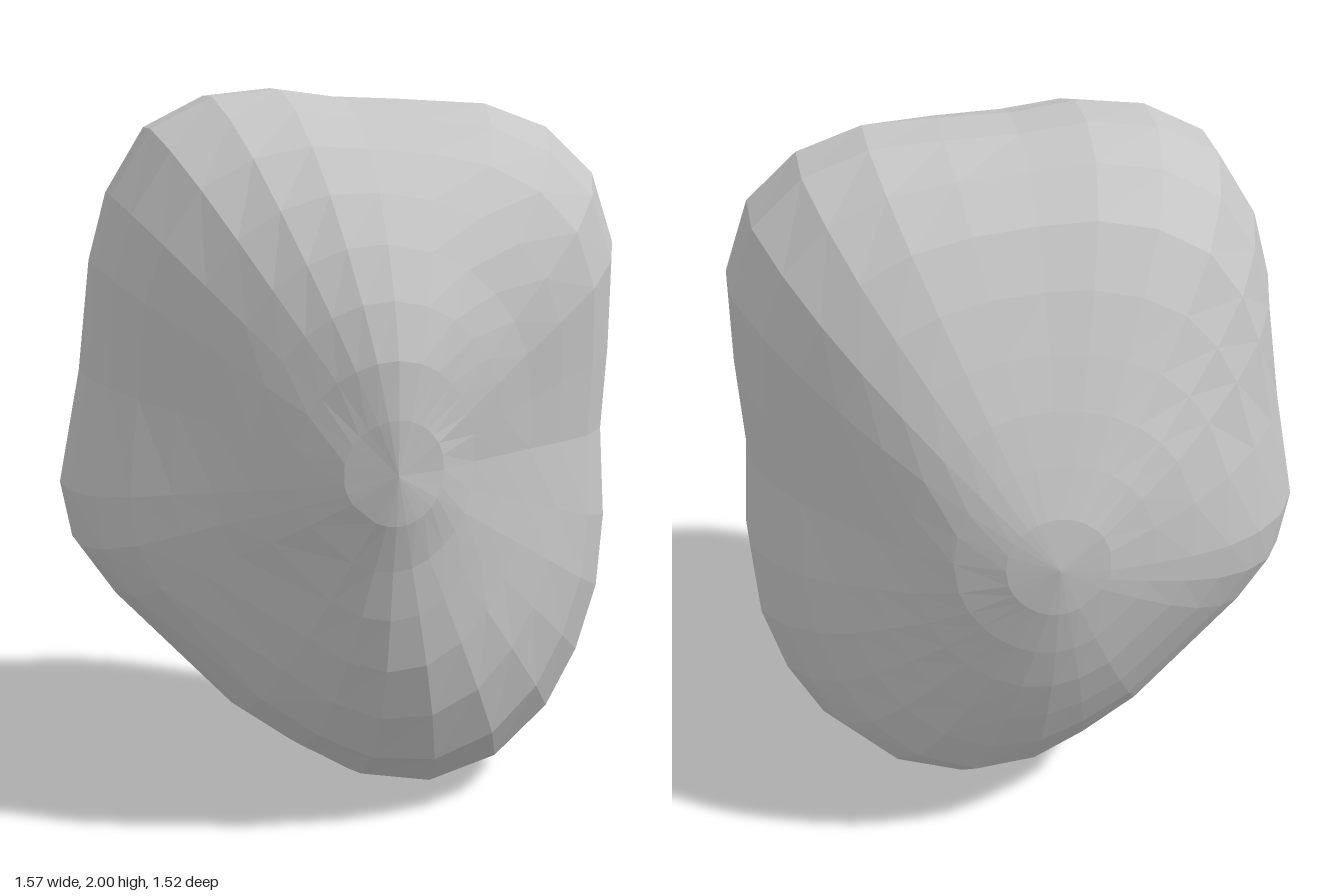
import * as THREE from 'three';

const CENTER_Y = 1.05;
const STACKS = 17;

// Widest outline of the boulder, counter-clockwise seen from the front (x, y)
const OUTLINE = [
  [0.765, 1.05], [0.783, 1.3], [0.788, 1.57], [0.72, 1.77], [0.58, 1.9], [0.4, 1.965],
  [0.2, 1.975], [0, 1.98], [-0.18, 2.004], [-0.37, 1.985], [-0.54, 1.9], [-0.65, 1.72],
  [-0.7, 1.53], [-0.73, 1.22], [-0.79, 0.9], [-0.76, 0.74], [-0.66, 0.6], [-0.33, 0.26],
  [-0.16, 0.14], [0.01, 0.04], [0.22, -0.004], [0.43, 0.05], [0.6, 0.19], [0.7, 0.36],
  [0.765, 0.56], [0.783, 0.78],
];

// Distance from the centre, front pole to back pole in steps of 22.5 degrees.
// Columns go round: left, upper left, top, upper right, right, lower right, bottom, lower left
const RADII = [
  [0.755, 0.755, 0.755, 0.755, 0.755, 0.755, 0.755, 0.755],
  [0.65, 0.72, 0.81, 0.74, 0.69, 0.7, 0.74, 0.69],
  [0.64, 0.76, 0.85, 0.76, 0.64, 0.68, 0.84, 0.73],
  [0.73, 0.93, 0.9, 0.88, 0.7, 0.765, 0.975, 0.9],
  [0.765, 1.018, 0.93, 0.93, 0.76, 0.787, 1.01, 0.98],
  [0.71, 0.9, 0.9, 0.88, 0.765, 0.79, 0.96, 0.88],
  [0.685, 0.79, 0.78, 0.78, 0.745, 0.755, 0.835, 0.78],
  [0.73, 0.745, 0.735, 0.745, 0.73, 0.74, 0.77, 0.75],
  [0.76, 0.76, 0.76, 0.76, 0.76, 0.76, 0.76, 0.76],
];

// Smooth curve between b and c
function cubic(a, b, c, d, t) {
  const m = (c - a) / 2, n = (d - b) / 2;
  return b + t * (m + t * (3 * (c - b) - 2 * m - n + t * (2 * (b - c) + m + n)));
}

function rowRadius(row, phi) {
  const s = ((phi / (Math.PI / 4)) + 8) % 8;
  const i = Math.floor(s);
  return cubic(row[(i + 7) % 8], row[i % 8], row[(i + 1) % 8], row[(i + 2) % 8], s - i);
}

function tableRadius(theta, phi) {
  const s = theta / (Math.PI / 8);
  const i = Math.min(7, Math.floor(s));
  const at = (k) => rowRadius(RADII[k < 0 ? 1 : k > 8 ? 7 : k], phi);
  return cubic(at(i - 1), at(i), at(i + 1), at(i + 2), s - i);
}

function boulderGeometry() {
  const n = OUTLINE.length;
  const positions = [];
  const index = [];
  // Rings from front to back, following the outline closely near the middle
  for (let i = 1; i < STACKS; i++) {
    const theta = (i * Math.PI) / STACKS;
    const weight = Math.sin(theta) ** 4;
    for (const [x, y] of OUTLINE) {
      const phi = Math.atan2(y - CENTER_Y, x);
      const detail = Math.hypot(x, y - CENTER_Y) - rowRadius(RADII[4], phi);
      const r = tableRadius(theta, phi) + detail * weight;
      const flat = r * Math.sin(theta);
      positions.push(flat * Math.cos(phi), CENTER_Y + flat * Math.sin(phi), r * Math.cos(theta));
    }
  }
  for (let i = 0; i < STACKS - 2; i++) {
    for (let j = 0; j < n; j++) {
      const k = (j + 1) % n;
      const a = i * n + j, b = a + n, c = (i + 1) * n + k, d = i * n + k;
      index.push(a, b, d, b, c, d);
    }
  }
  // Close the front and back poles
  const front = positions.length / 3, back = front + 1, last = (STACKS - 2) * n;
  positions.push(0, CENTER_Y, 0.755, 0, CENTER_Y, -0.76);
  for (let j = 0; j < n; j++) {
    const k = (j + 1) % n;
    index.push(front, j, k, back, last + k, last + j);
  }
  const geometry = new THREE.BufferGeometry();
  geometry.setAttribute('position', new THREE.Float32BufferAttribute(positions, 3));
  geometry.setIndex(index);
  const faceted = geometry.toNonIndexed();
  faceted.computeVertexNormals();
  return faceted;
}

export function createModel() {
  const group = new THREE.Group();
  group.name = 'rock';
  const stone = new THREE.MeshStandardMaterial({ color: 0xc6c6c6 });
  stone.name = 'stone grey';
  stone.flatShading = true;
  const boulder = new THREE.Mesh(boulderGeometry(), stone);
  boulder.name = 'boulder';
  group.add(boulder);
  return group;
}
